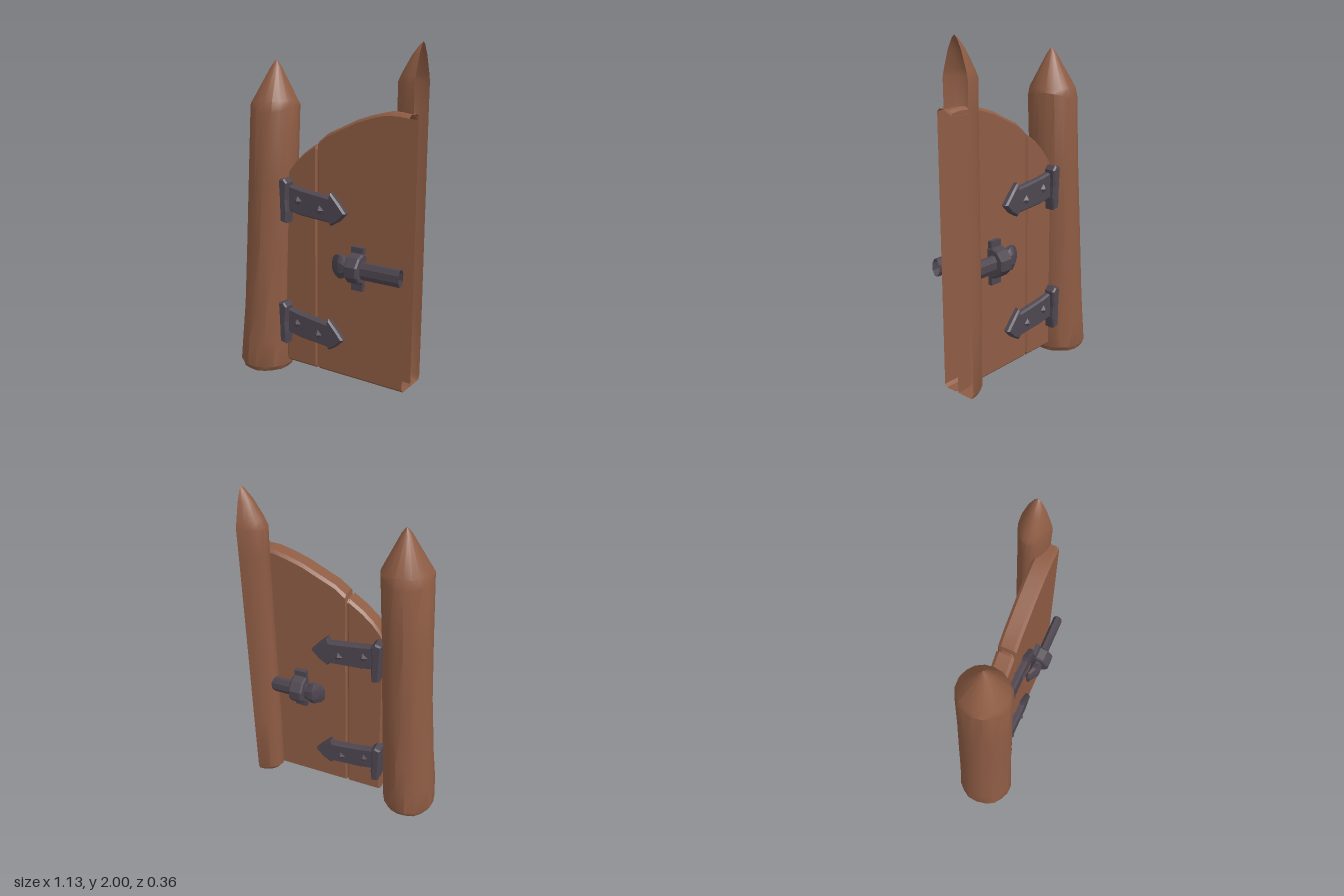
import * as THREE from 'three';
import { toCreasedNormals } from 'three/addons/utils/BufferGeometryUtils.js';

const wood = new THREE.MeshStandardMaterial({ color: 0x8e5c44, side: THREE.DoubleSide });
wood.name = 'wood';
const iron = new THREE.MeshStandardMaterial({ color: 0x4e4650, side: THREE.DoubleSide });
iron.name = 'iron';

const MID_Z = -0.013; // middle plane of the door

// Skin a row of equal-length sections, each counter-clockwise about the travel direction
function loft(sections, { closed = true, capStart = false, capEnd = false, crease = 0.5 } = {}) {
  const n = sections[0].length, index = [];
  for (let i = 0; i < sections.length - 1; i++) {
    for (let j = 0; j < (closed ? n : n - 1); j++) {
      const a = i * n + j, b = i * n + (j + 1) % n;
      index.push(a, b, b + n, a, b + n, a + n);
    }
  }
  const last = (sections.length - 1) * n;
  for (let j = 1; j < n - 1; j++) {
    if (capStart) index.push(0, j + 1, j);
    if (capEnd) index.push(last, last + j, last + j + 1);
  }
  const g = new THREE.BufferGeometry();
  g.setAttribute('position', new THREE.Float32BufferAttribute(sections.flat(2), 3));
  g.setIndex(index);
  return toCreasedNormals(g, crease);
}

function add(parent, name, geometry, material, x = 0, y = 0, z = 0) {
  const mesh = new THREE.Mesh(geometry, material);
  mesh.name = name;
  mesh.position.set(x, y, z);
  parent.add(mesh);
  return mesh;
}

// Leaning, hand-hewn gate post with a pointed top: y, centre x, radius
function gatePost() {
  const rings = [
    [0, -0.408, 0.15], [0.03, -0.406, 0.164], [0.2, -0.398, 0.16], [0.4, -0.386, 0.153],
    [0.8, -0.362, 0.147], [1.2, -0.343, 0.143], [1.62, -0.324, 0.141], [1.66, -0.322, 0.129],
    [1.85, -0.311, 0.029], [1.885, -0.309, 0.004],
  ];
  const sides = 18;
  const sections = rings.map(([y, cx, r], i) => Array.from({ length: sides }, (_, j) => {
    const a = j / sides * Math.PI * 2;
    const k = r * (1 + 0.018 * Math.sin(j * 2.3 + i * 1.7));
    const edge = i === 6 ? 0.02 * Math.sin(a * 2 + 1) : 0;
    return [cx + k * Math.cos(a), y + edge, 0.004 - k * 1.06 * Math.sin(a)];
  }));
  return loft(sections, { capStart: true, capEnd: true });
}

// Half post behind the door, open along its cut side: y, radius factor
function halfPost() {
  const rings = [
    [0.062, 0.8], [0.09, 0.97], [0.5, 1], [1, 0.98], [1.6, 0.98], [1.63, 0.98],
    [1.79, 1], [1.83, 0.87], [1.93, 0.45], [1.985, 0.14], [2, 0.01],
  ];
  const sections = rings.map(([y, k]) => Array.from({ length: 11 }, (_, j) => {
    const a = Math.PI / 2 + j / 10 * Math.PI;
    const z = -0.095 - 0.088 * Math.pow(k, 0.8) * Math.sin(a);
    return [0.565 + 0.137 * k * Math.cos(a), y, y < 1.62 ? Math.min(z, -0.066) : z];
  }));
  return loft(sections, { closed: false, capStart: true });
}

// Arched plank door, bevelled, grooved between planks: x, top y, inset
function door() {
  const columns = [
    [-0.235, 1.2, 0.012], [-0.222, 1.235, 0], [-0.2, 1.27, 0], [-0.16, 1.32, 0], [-0.1, 1.375, 0],
    [-0.022, 1.43, 0], [-0.014, 1.425, 0.011], [-0.008, 1.43, 0.011], [0, 1.45, 0],
    [0.06, 1.498, 0], [0.17, 1.55, 0], [0.25, 1.588, 0], [0.34, 1.618, 0],
    [0.42, 1.638, 0], [0.5, 1.64, 0], [0.565, 1.632, 0],
  ];
  const sections = columns.map(([x, top, inset]) => {
    const t = top - inset, b = 0.063 + inset, f = 0.04 - inset, k = -0.065 + inset, e = 0.016;
    return [
      [x, t, k + e], [x, t, f - e], [x, t - e, f], [x, b + e, f],
      [x, b, f - e], [x, b, k + e], [x, b + e, k], [x, t - e, k],
    ];
  });
  return loft(sections, { capStart: true, crease: 0.35 });
}

// Hinge with post plate, arrow-headed strap and pyramid studs
function hinge(name) {
  const group = new THREE.Group();
  group.name = name;

  const plate = new THREE.Shape([
    [-0.228, 0.97], [-0.185, 0.96], [-0.178, 1.03], [-0.184, 1.1], [-0.176, 1.2],
    [-0.2, 1.225], [-0.238, 1.215], [-0.232, 1.1],
  ].map(p => new THREE.Vector2(...p)));
  add(group, 'hingePlate', new THREE.ExtrudeGeometry(plate, {
    depth: 0.09, bevelSize: 0.008, bevelOffset: -0.008, bevelThickness: 0.01, bevelSegments: 1,
  }), iron, 0, 0, 0.005);

  const strap = new THREE.Shape([
    [-0.19, 1.03], [-0.1, 1.012], [0, 1.005], [0.085, 0.998], [0.1, 0.98], [0.15, 1.01],
    [0.2, 1.062], [0.15, 1.12], [0.097, 1.175], [0.085, 1.145], [0, 1.155], [-0.1, 1.168], [-0.19, 1.185],
  ].map(p => new THREE.Vector2(...p)));
  add(group, 'hingeStrap', new THREE.ExtrudeGeometry(strap, {
    depth: 0.03, bevelSize: 0.01, bevelOffset: -0.01, bevelThickness: 0.012, bevelSegments: 1,
  }), iron, 0, 0, 0.033);

  for (const [x, y] of [[-0.12, 1.1], [0.03, 1.065]]) {
    const stud = new THREE.ConeGeometry(0.035, 0.02, 4).toNonIndexed();
    stud.computeVertexNormals();
    add(group, 'hingeStud', stud.rotateX(Math.PI / 2), iron, x, y, 0.081);
  }
  return group;
}

// Sliding bolt with a knob, held by a bracket
function bolt(name, endX) {
  const group = new THREE.Group();
  group.name = name;

  // x, half height, half depth
  const columns = [
    [0.122, 0.04, 0.012], [0.14, 0.062, 0.019], [0.18, 0.072, 0.03], [0.2, 0.066, 0.032],
    [0.222, 0.05, 0.03], [0.24, 0.05, 0.027], [endX, 0.05, 0.027],
  ];
  const sections = columns.map(([x, h, d], i) => Array.from({ length: 8 }, (_, j) => {
    const a = (j + 0.5) / 8 * Math.PI * 2;
    return [x, 0.762 + h * 1.06 * Math.cos(a), (i < 2 ? 0.07 : 0.086) + d * 1.06 * Math.sin(a)];
  }));
  add(group, 'boltBar', loft(sections, { capStart: true, crease: 0.3 }), iron);

  const hoop = new THREE.Shape([
    [0.03, 0.68], [0.075, 0.672], [0.115, 0.69], [0.15, 0.73], [0.154, 0.79], [0.118, 0.838],
    [0.075, 0.852], [0.03, 0.845],
  ].map(p => new THREE.Vector2(...p)));
  const hoopGeometry = new THREE.ExtrudeGeometry(hoop, {
    depth: 0.066, bevelSize: 0.01, bevelOffset: -0.01, bevelThickness: 0.009, bevelSegments: 1,
  }).rotateY(-Math.PI / 2);
  add(group, 'bracketHoop', hoopGeometry, iron, 0.312, 0, 0);
  add(group, 'bracketTabs', new THREE.BoxGeometry(0.075, 0.255, 0.035), iron, 0.277, 0.757, 0.05);
  return group;
}

export function createModel() {
  const model = new THREE.Group();
  model.name = 'gate';
  add(model, 'gatePost', gatePost(), wood);
  add(model, 'door', door(), wood);
  add(model, 'halfPost', halfPost(), wood);

  // Ironwork on the front, mirrored to the back
  for (const side of ['front', 'back']) {
    const ironwork = new THREE.Group();
    ironwork.name = side + 'Ironwork';
    const upper = hinge('upperHinge');
    const lower = hinge('lowerHinge');
    lower.position.set(-0.012, -0.76, 0);
    ironwork.add(upper, lower, bolt('bolt', side === 'front' ? 0.565 : 0.46));
    if (side === 'back') {
      ironwork.scale.z = -1;
      ironwork.position.z = 2 * MID_Z;
    }
    model.add(ironwork);
  }
  return model;
}
